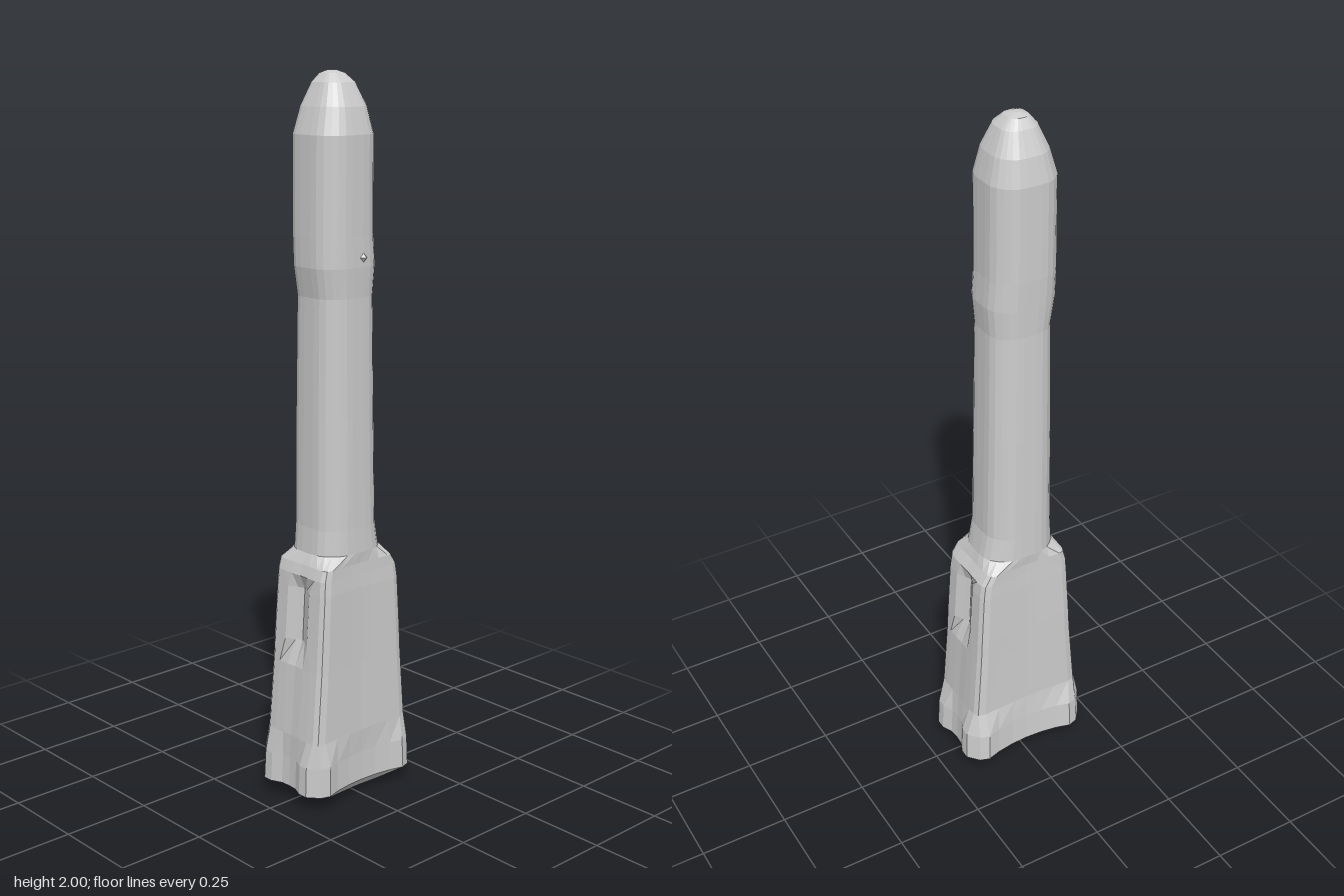
import * as THREE from 'three';

// Quarter outlines in unit size, from the side (+x) round to the front (+z)
const round = [[1, 0], [1, .2], [.98, .42], [.9, .62], [.77, .77], [.62, .9], [.42, .98], [.2, 1], [0, 1]];
const box = [[.99, 0], [1, .3], [1, .6], [.99, .82], [.94, .94], [.82, 1], [.55, .98], [.25, .96], [0, .95]];
const notched = [[.84, 0], [.9, .17], [1, .42], [.99, .82], [.94, .94], [.82, 1], [.55, .98], [.25, .96], [0, .95]];
const lobed = [[.92, 0], [.93, .22], [1, .46], [1, .68], [.86, .93], [.72, 1], [.52, .91], [.26, .85], [0, .83]];

// Mirror a quarter outline into a closed ring of 32 points
function fullRing(q) {
  const ring = [];
  for (let i = 0; i < 8; i++) ring.push(q[i]);
  for (let i = 8; i > 0; i--) ring.push([-q[i][0], q[i][1]]);
  for (let i = 0; i < 8; i++) ring.push([-q[i][0], -q[i][1]]);
  for (let i = 8; i > 0; i--) ring.push([q[i][0], -q[i][1]]);
  return ring;
}

// Skin rows of [y, xMin, xMax, zMin, zMax, outline], closed at both ends
function loft(rows) {
  const pos = [], idx = [], n = 32;
  for (const [y, x0, x1, z0, z1, outline] of rows) {
    for (const [u, v] of fullRing(outline)) {
      pos.push((x0 + x1) / 2 + u * (x1 - x0) / 2, y, (z0 + z1) / 2 + v * (z1 - z0) / 2);
    }
  }
  for (let r = 0; r < rows.length - 1; r++) {
    for (let j = 0; j < n; j++) {
      const a = r * n + j, b = r * n + (j + 1) % n;
      idx.push(a, a + n, b, b, a + n, b + n);
    }
  }
  const last = (rows.length - 1) * n, c = rows.length * n;
  for (const [y, x0, x1, z0, z1] of [rows[0], rows[rows.length - 1]]) {
    pos.push((x0 + x1) / 2, y, (z0 + z1) / 2);
  }
  for (let j = 0; j < n; j++) {
    const k = (j + 1) % n;
    idx.push(c, j, k, c + 1, last + k, last + j);
  }
  const g = new THREE.BufferGeometry();
  g.setAttribute('position', new THREE.Float32BufferAttribute(pos, 3));
  g.setIndex(idx);
  g.computeVertexNormals();
  return g;
}

export function createModel() {
  const group = new THREE.Group();
  const material = new THREE.MeshStandardMaterial({ color: 0xcccccc, flatShading: true });
  const add = (name, geometry) => {
    const mesh = new THREE.Mesh(geometry, material);
    mesh.name = name;
    group.add(mesh);
    return mesh;
  };

  // Booster block with flared feet, slim core, wider upper stage and blunt nose
  add('rocketBody', loft([
    [0, -.07, .07, -.04, .04, box],
    [.015, -.12, .12, -.085, .085, box],
    [.045, -.195, .195, -.13, .128, lobed],
    [.13, -.193, .19, -.125, .128, lobed],
    [.2, -.18, .168, -.102, .117, box],
    [.4, -.163, .152, -.098, .115, box],
    [.47, -.159, .148, -.097, .115, notched],
    [.62, -.15, .137, -.093, .115, notched],
    [.66, -.147, .131, -.091, .113, box],
    [.69, -.138, .112, -.09, .112, box],
    [.72, -.122, .1, -.088, .11, round],
    [.79, -.117, .086, -.086, .109, round],
    [1.1, -.117, .077, -.08, .11, round],
    [1.42, -.117, .067, -.07, .112, round],
    [1.5, -.13, .073, -.072, .117, round],
    [1.58, -.131, .067, -.074, .117, round],
    [1.84, -.13, .063, -.073, .12, round],
    [1.91, -.11, .046, -.058, .104, round],
    [1.97, -.084, .019, -.03, .076, round],
    [1.993, -.064, -.005, -.01, .052, round],
    [2, -.045, -.024, .01, .032, round],
  ]));

  // Small pointed fitting on the front of the upper stage
  const fitting = add('frontFitting', new THREE.ConeGeometry(.04, .04, 4));
  fitting.rotation.x = Math.PI / 2;
  fitting.position.set(-.012, 1.525, .109);

  return group;
}
